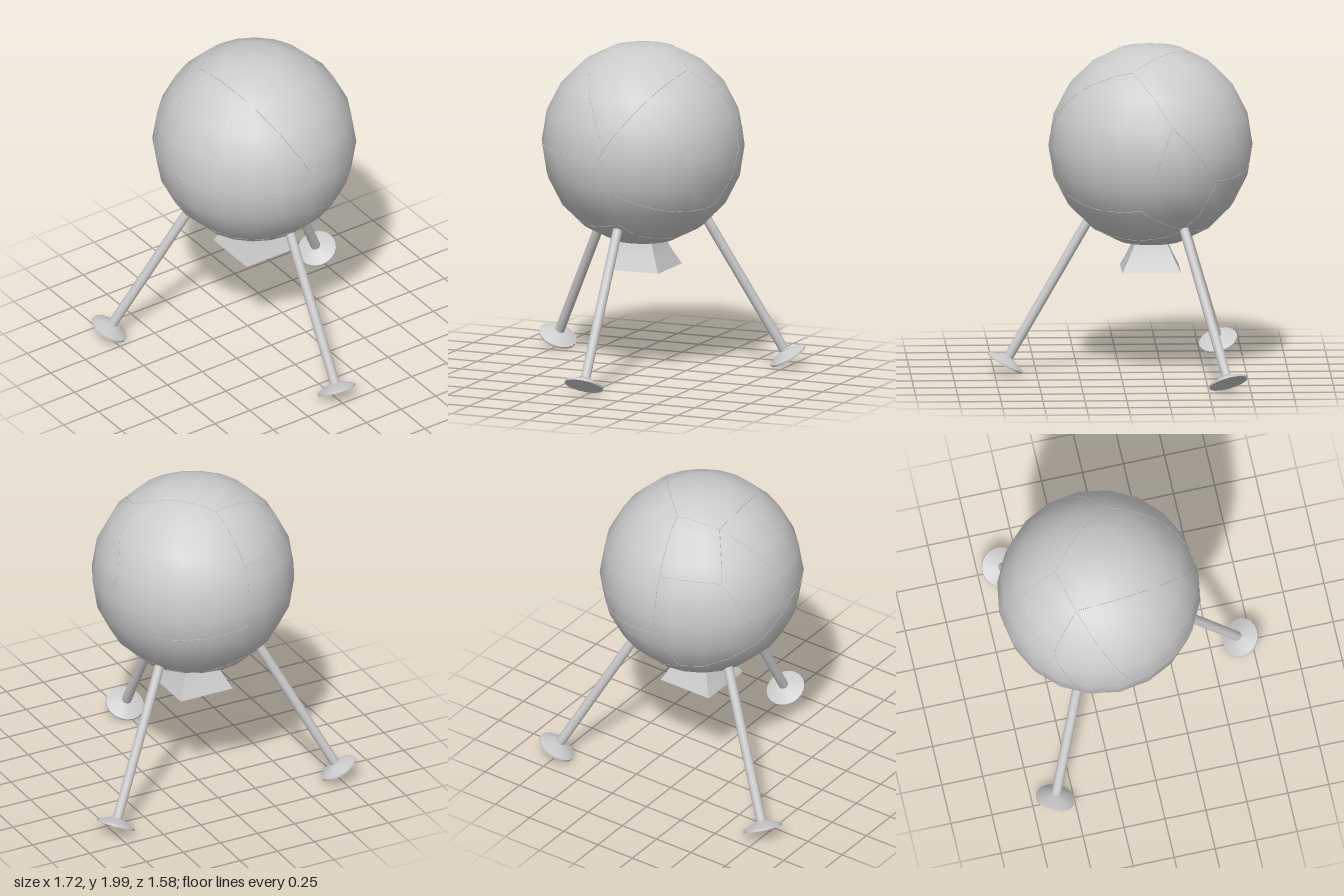
import * as THREE from 'three';
import { toCreasedNormals } from 'three/addons/utils/BufferGeometryUtils.js';

const R = 0.608;
const material = new THREE.MeshStandardMaterial({ color: 0xcccccc, side: THREE.DoubleSide });

function add(parent, name, geometry) {
  const mesh = new THREE.Mesh(geometry, material);
  mesh.name = name;
  parent.add(mesh);
  return mesh;
}

function lathe(points, segments) {
  return new THREE.LatheGeometry(points.map(([x, y]) => new THREE.Vector2(x, y)), segments);
}

// Junctions of the hull panels, as directions from the hull centre
const nodes = {
  a: [-0.02, 0.015, 0.61], b: [0.01, 0.075, 0.605], c: [0.05, -0.215, 0.57], d: [0.02, -0.425, 0.44],
  crown: [-0.01, 0.547, -0.27], topLeft: [0.34, 0.49, 0.12], topRight: [-0.27, 0.51, -0.2],
  sideTop: [0.567, 0.195, -0.11], sideLow: [0.51, -0.325, 0.08], sideBack: [0.45, -0.155, -0.38],
  legLeft: [0.345, -0.465, -0.19], backRight: [-0.41, 0.26, -0.37], backTop: [-0.07, 0.275, -0.54],
  backLow: [-0.07, -0.1, -0.6], right: [-0.6, 0, 0.08], rightLow: [-0.55, -0.2, -0.16],
  under: [-0.17, -0.38, -0.45],
};
const seams = [
  'a b', 'a right', 'a c', 'b topRight', 'b topLeft', 'c sideLow', 'c d', 'd rightLow', 'd legLeft',
  'crown topLeft', 'crown topRight', 'crown backTop', 'topLeft sideTop', 'topRight right',
  'topRight backRight', 'backRight backTop', 'backRight rightLow', 'right rightLow',
  'sideTop sideLow', 'sideTop sideBack', 'sideLow legLeft', 'legLeft sideBack', 'legLeft under',
  'sideBack backLow', 'backTop backLow', 'backLow under', 'under rightLow',
];

// Fine seam lying on the faceted hull between two junctions
function seamGeometry(hull, from, to) {
  const start = new THREE.Vector3(...nodes[from]).normalize();
  const end = new THREE.Vector3(...nodes[to]).normalize();
  const points = [];
  for (let i = 0; i <= 16; i++) {
    const dir = start.clone().lerp(end, i / 16).normalize();
    const ray = new THREE.Raycaster(dir.clone().multiplyScalar(2), dir.clone().negate());
    const hit = ray.intersectObject(hull)[0];
    points.push(hit ? hit.point : dir.multiplyScalar(R));
  }
  return new THREE.TubeGeometry(new THREE.CatmullRomCurve3(points), 32, 0.002, 4);
}

// Flared nozzle: square outside, round hollow inside
function nozzleGeometry() {
  const profile = [[0.088, 0.85], [0.1, 0.8], [0.135, 0.72], [0.175, 0.64], [0.145, 0.64], [0.1, 0.71], [0.06, 0.76], [0, 0.77]];
  const squareness = [1, 1, 1, 1, 0.5, 0.2, 0, 0];
  const g = lathe(profile, 40);
  const p = g.attributes.position;
  for (let i = 0; i < p.count; i++) {
    const x = p.getX(i), z = p.getZ(i);
    const widest = Math.max(Math.abs(x), Math.abs(z));
    if (widest < 1e-6) continue;
    const k = 1 + (Math.hypot(x, z) / widest - 1) * squareness[i % profile.length];
    p.setX(i, x * k);
    p.setZ(i, z * k);
  }
  return toCreasedNormals(g, 0.6);
}

// Slanted strut with a dish foot square to it, leaning out along +z
function createLeg(name) {
  const leg = new THREE.Group();
  leg.name = name;
  const foot = new THREE.Vector3(0, 0.072, 0.87);
  const top = new THREE.Vector3(0, 1.0, 0.335);
  const axis = top.clone().sub(foot);
  const length = axis.length();
  const tilt = new THREE.Quaternion().setFromUnitVectors(new THREE.Vector3(0, 1, 0), axis.normalize());

  const strut = add(leg, 'strut', new THREE.CylinderGeometry(0.029, 0.029, length - 0.02, 16));
  strut.position.copy(foot).addScaledVector(axis, length / 2 + 0.01);
  strut.quaternion.copy(tilt);

  const profile = [[0, 0.012], [0.117, 0], [0.117, 0.012], [0.03, 0.05], [0, 0.05]];
  const pad = add(leg, 'footPad', toCreasedNormals(lathe(profile, 20), 0.5));
  pad.position.copy(foot);
  pad.quaternion.copy(tilt);
  return leg;
}

export function createModel() {
  const model = new THREE.Group();
  model.name = 'sphericalLander';
  const craft = new THREE.Group();
  craft.name = 'craft';
  craft.position.z = -0.18;

  // Spherical hull with panel seams
  const body = new THREE.Group();
  body.name = 'body';
  const hull = add(body, 'hull', new THREE.SphereGeometry(R, 20, 10));
  hull.updateMatrixWorld();
  for (const seam of seams) add(body, 'panelSeam', seamGeometry(hull, ...seam.split(' ')));
  body.position.y = 1.392;
  craft.add(body);

  // Engine nozzle below the hull
  add(craft, 'nozzle', nozzleGeometry());

  // Three legs at equal angles
  ['frontLeg', 'backLeftLeg', 'backRightLeg'].forEach((name, i) => {
    const leg = createLeg(name);
    leg.rotation.y = (i * Math.PI * 2) / 3;
    craft.add(leg);
  });

  model.add(craft);
  return model;
}
